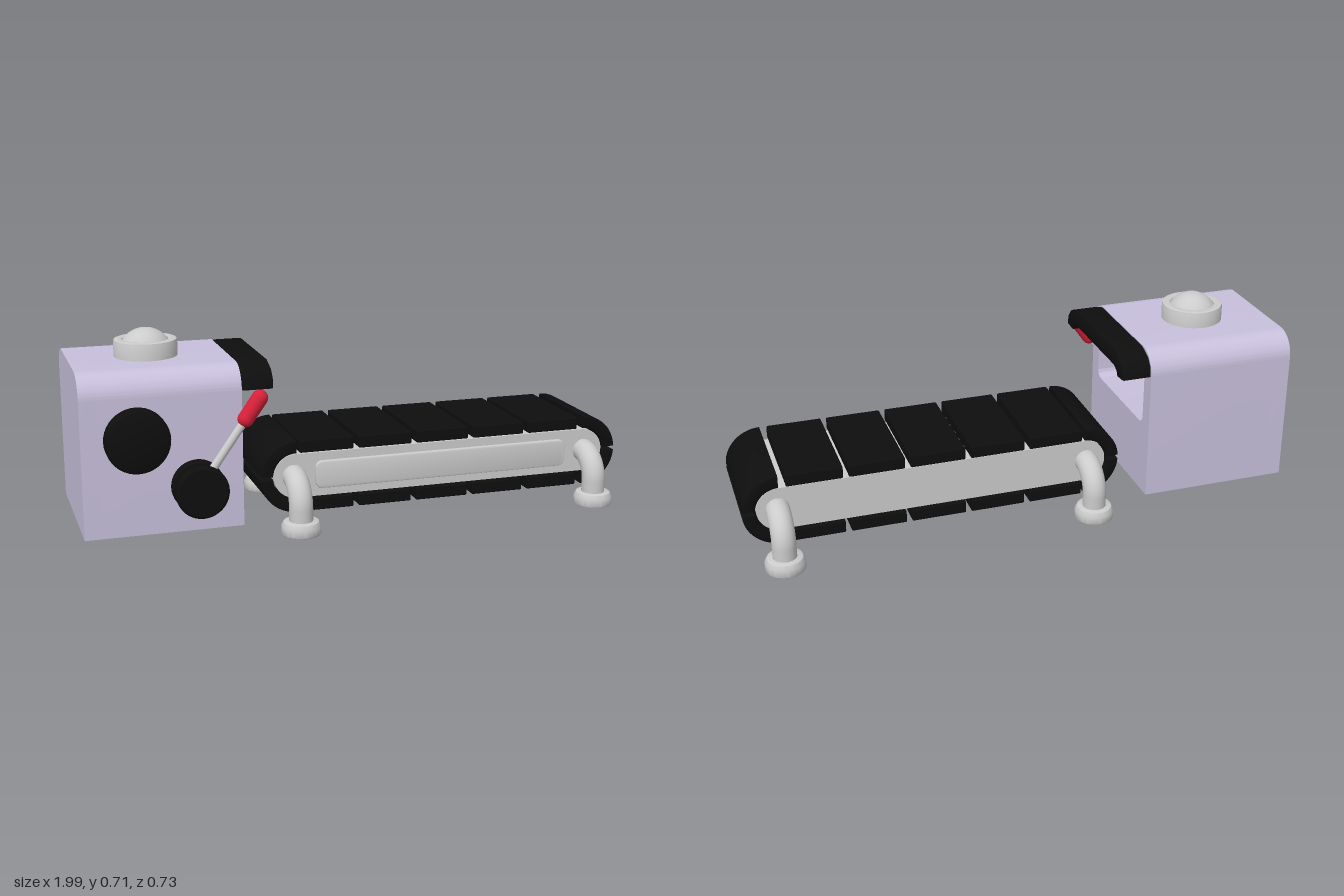
import * as THREE from 'three';
import { toCreasedNormals } from 'three/addons/utils/BufferGeometryUtils.js';
import { RoundedBoxGeometry } from 'three/addons/geometries/RoundedBoxGeometry.js';

const mat = (color) => new THREE.MeshStandardMaterial({ color });
const grey = mat(0xcccccc), lilac = mat(0xc8c0dc), black = mat(0x0e0e0e), red = mat(0xd8203a);

// Rectangle path with separate radii for the top and bottom corners
function roundRect(x0, y0, x1, y1, top, bottom, target = new THREE.Shape()) {
  target.moveTo(x0 + bottom, y0);
  target.lineTo(x1 - bottom, y0);
  if (bottom) target.absarc(x1 - bottom, y0 + bottom, bottom, -Math.PI / 2, 0);
  target.lineTo(x1, y1 - top);
  if (top) target.absarc(x1 - top, y1 - top, top, 0, Math.PI / 2);
  target.lineTo(x0 + top, y1);
  if (top) target.absarc(x0 + top, y1 - top, top, Math.PI / 2, Math.PI);
  target.lineTo(x0, y0 + bottom);
  if (bottom) target.absarc(x0 + bottom, y0 + bottom, bottom, Math.PI, Math.PI * 1.5);
  return target;
}

// Extrusion whose overall depth and outline include the bevel
function extrude(shape, depth, bevel = 0) {
  const g = new THREE.ExtrudeGeometry(shape, {
    depth: depth - 2 * bevel, curveSegments: 12, bevelEnabled: bevel > 0,
    bevelSize: bevel, bevelThickness: bevel, bevelOffset: -bevel, bevelSegments: 2,
  });
  g.translate(0, 0, bevel);
  return toCreasedNormals(g, 0.6);
}
const alongX = (shape, x0, x1, bevel) => extrude(shape, x1 - x0, bevel).rotateY(Math.PI / 2).translate(x0, 0, 0);
const alongZ = (shape, z0, z1, bevel) => extrude(shape, z1 - z0, bevel).translate(0, 0, z0);

function lathe(points, segments = 40) {
  const g = new THREE.LatheGeometry(points.map(([r, y]) => new THREE.Vector2(r, y)), segments);
  return toCreasedNormals(g, 0.6);
}

export function createModel() {
  const model = new THREE.Group();
  const root = new THREE.Group();
  root.name = 'conveyorMachine';
  root.position.z = -0.015;
  model.add(root);
  const add = (name, geometry, material, x = 0, y = 0, z = 0, parent = root) => {
    const m = new THREE.Mesh(geometry, material);
    m.name = name;
    m.position.set(x, y, z);
    parent.add(m);
    return m;
  };

  // Hollow machine housing, open towards the belt, with a closed back
  const outline = () => roundRect(-0.275, 0.05, 0.275, 0.61, 0.085, 0);
  const shell = outline();
  shell.holes.push(roundRect(-0.217, 0.315, 0.217, 0.55, 0.03, 0.03, new THREE.Path()));
  add('housingShell', alongX(shell, -0.94, -0.455), lilac);
  add('housingBack', alongX(outline(), -1, -0.94), lilac);

  // Hood over the opening
  const hood = new THREE.Shape([
    [0.275, 0.525], [0.27, 0.56], [0.245, 0.59], [0.19, 0.61], [-0.19, 0.61], [-0.245, 0.59],
    [-0.27, 0.56], [-0.275, 0.525], [-0.225, 0.52], [-0.215, 0.538], [-0.19, 0.55],
    [0.19, 0.55], [0.215, 0.538], [0.225, 0.52],
  ].map(([x, y]) => new THREE.Vector2(x, y)));
  add('hood', alongX(hood, -0.455, -0.345, 0.006), black);

  // Lamp on the roof
  add('lampCollar', lathe([[0.078, 0], [0.11, 0], [0.11, 0.062], [0.108, 0.068], [0.102, 0.07],
    [0.086, 0.07], [0.08, 0.068], [0.078, 0.06], [0.078, 0]]), grey, -0.73, 0.6, 0);
  add('lampGlobe', new THREE.SphereGeometry(0.096, 40, 24), grey, -0.73, 0.611, 0);

  // Round dial and lever hub on the front wall
  const dial = lathe([[0, 0], [0.11, 0], [0.11, 0.035], [0.105, 0.049], [0.092, 0.055], [0, 0.055]]);
  add('dial', dial.rotateX(Math.PI / 2), black, -0.815, 0.385, 0.273);
  const hub = lathe([[0, 0], [0.09, 0], [0.09, 0.01], [0.08, 0.022], [0.06, 0.025], [0.06, 0.074],
    [0.09, 0.078], [0.09, 0.098], [0.082, 0.106], [0, 0.106]]);
  add('leverHub', hub.rotateX(Math.PI / 2), black, -0.615, 0.21, 0.273);

  // Lever, leaning towards the belt
  const lever = new THREE.Group();
  lever.name = 'lever';
  lever.position.set(-0.615, 0.21, 0.318);
  lever.rotation.z = -Math.atan2(22, 31);
  root.add(lever);
  add('leverRod', new THREE.CylinderGeometry(0.014, 0.014, 0.25, 20), grey, 0, 0.165, 0, lever);
  add('leverGrip', new THREE.CapsuleGeometry(0.028, 0.085, 8, 24), red, 0, 0.322, 0, lever);

  // Belt frame with a raised front panel
  const cy = 0.18, left = -0.245, right = 0.865;
  add('beltFrame', alongZ(roundRect(left - 0.08, cy - 0.08, right + 0.08, cy + 0.08, 0.0799, 0.0799), -0.185, 0.185), grey);
  add('framePanel', alongZ(roundRect(-0.175, 0.13, 0.79, 0.23, 0.025, 0.025), 0.17, 0.2, 0.005), grey);

  // Straight belt slats, above and below
  const pitch = 0.2185;
  const slat = new RoundedBoxGeometry(pitch - 0.02, 0.045, 0.39, 2, 0.005);
  for (let i = 0; i < 5; i++) {
    const x = -0.134 + i * pitch;
    add('topSlat', slat, black, x, cy + 0.1075, 0);
    add('bottomSlat', slat, black, x, cy - 0.1075, 0);
  }

  // Quarter-round slats at the belt ends
  for (const [cx, start, end] of [
    [right, 0.06, Math.PI / 2], [right, -Math.PI / 2, -0.06],
    [left, Math.PI / 2, Math.PI - 0.06], [left, Math.PI + 0.06, Math.PI * 1.5],
  ]) {
    const arc = new THREE.Shape();
    arc.absarc(cx, cy, 0.13, start, end, false);
    arc.absarc(cx, cy, 0.085, end, start, true);
    add('endSlat', alongZ(arc, -0.195, 0.195, 0.004), black);
  }

  // Bent pipe legs running through the frame, with round feet
  const z = 0.277, bend = 0.09, k = bend * 0.4477;
  const v = (y, zz) => new THREE.Vector3(0, y, zz);
  const path = new THREE.CurvePath();
  path.add(new THREE.LineCurve3(v(0.02, z), v(cy - bend, z)));
  path.add(new THREE.CubicBezierCurve3(v(cy - bend, z), v(cy - k, z), v(cy, z - k), v(cy, z - bend)));
  path.add(new THREE.LineCurve3(v(cy, z - bend), v(cy, bend - z)));
  path.add(new THREE.CubicBezierCurve3(v(cy, bend - z), v(cy, k - z), v(cy - k, -z), v(cy - bend, -z)));
  path.add(new THREE.LineCurve3(v(cy - bend, -z), v(0.02, -z)));
  const pipe = new THREE.TubeGeometry(path, 80, 0.042, 24);
  const foot = lathe([[0, 0], [0.068, 0], [0.07, 0.003], [0.07, 0.03], [0.062, 0.045], [0.058, 0.047], [0, 0.047]]);
  for (const x of [-0.253, 0.872]) {
    add('legPipe', pipe, grey, x);
    for (const s of [-1, 1]) add('foot', foot, grey, x, 0, s * z);
  }
  return model;
}
